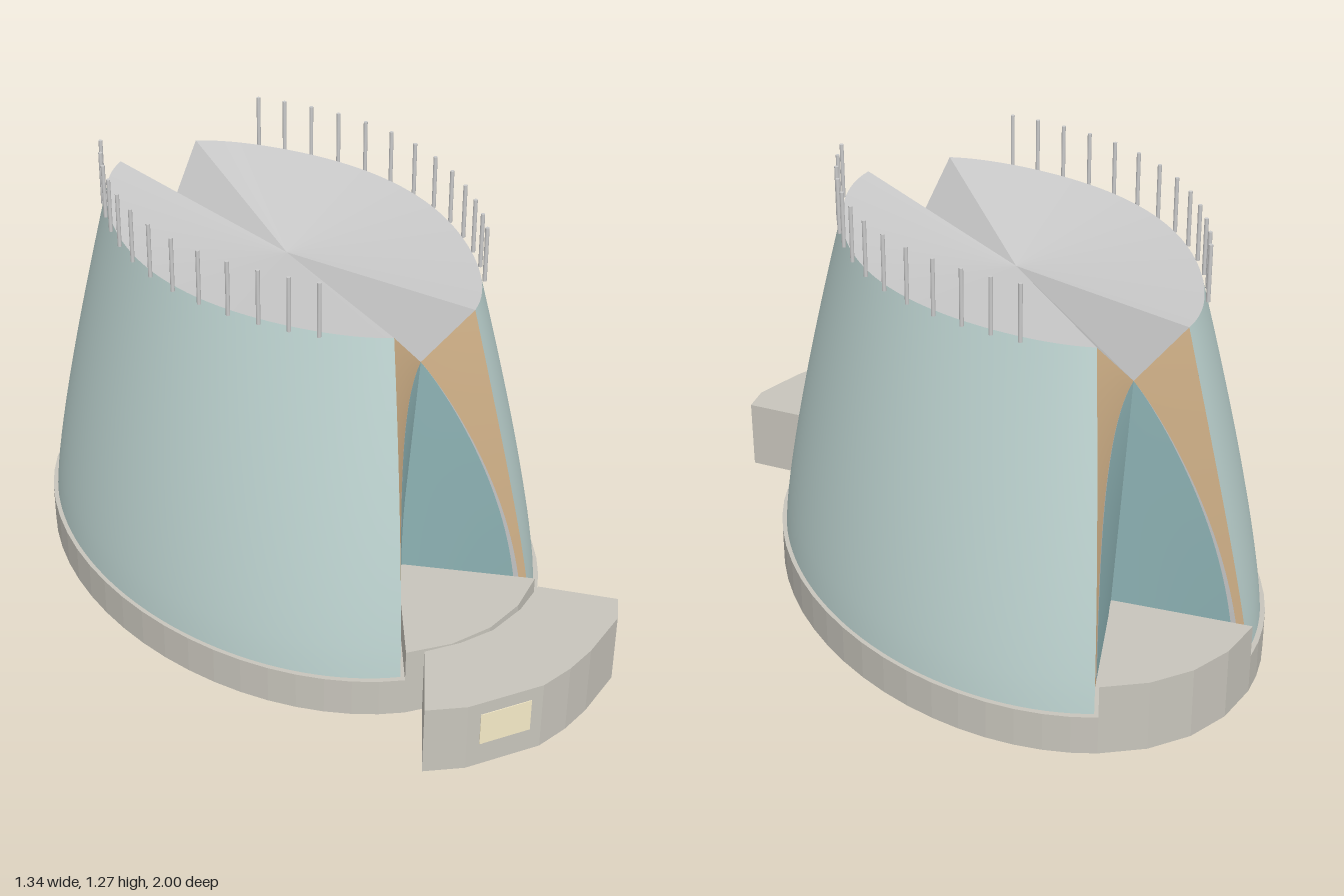
import * as THREE from 'three';
import { ParametricGeometry } from 'three/addons/geometries/ParametricGeometry.js';

const V = (x, y, z) => new THREE.Vector3(x, y, z);
const lerp = THREE.MathUtils.lerp;
const mat = (color) => new THREE.MeshStandardMaterial({ color, side: THREE.DoubleSide });

const BASE_Y = 0.12, TOP_Y = 1.12, STEP_H = 0.22;
const A = 0.876, B = 0.63;              // half axes of the tower's oval foot
const APEX = 0.506;                     // inner corner of each entrance notch
const rise = (y) => (y - BASE_Y) / (TOP_Y - BASE_Y);

// Point on the tapering oval wall: angle t from the entrance, height y.
// The flanks flatten slightly towards the top.
function onShell(t, y, outset = 0) {
  const f = Math.pow(Math.max(0, rise(y)), 1.25);
  const flat = 0.022 * f * Math.sin(2 * t) ** 2 - outset;
  return V((B - 0.192 * f - flat) * Math.sin(t), y, (A - 0.182 * f - flat) * Math.cos(t));
}
// Angles of the two notch edges, which close up towards the top
const edgeRight = (y) => lerp(0.435, 0.25, rise(y));
const edgeLeft = (y) => lerp(-0.41, -0.375, rise(y));

// Points [x, z] on the plinth's outline
const plinthArc = (from, to, n) => Array.from({ length: n + 1 }, (_, i) => {
  const t = lerp(from, to, i / n);
  return [0.643 * Math.sin(t), 0.893 * Math.cos(t)];
});

// Smooth surface from a function of two parameters
function surface(name, material, fn, nu, nv) {
  const g = new ParametricGeometry((u, v, out) => out.copy(fn(u, v)), nu, nv);
  g.computeVertexNormals();
  const m = new THREE.Mesh(g, material);
  m.name = name;
  return m;
}

// Upright prism over an [x, z] outline, hollow underneath
function prism(name, material, outline, height) {
  const shape = new THREE.Shape(outline.map(([x, z]) => new THREE.Vector2(x, -z)));
  const solid = new THREE.ExtrudeGeometry(shape, { depth: height, bevelEnabled: false });
  const skip = solid.groups[0].count / 2;   // the lower lid comes first
  const g = new THREE.BufferGeometry();
  for (const key of ['position', 'normal']) {
    g.setAttribute(key, new THREE.Float32BufferAttribute(solid.attributes[key].array.slice(skip * 3), 3));
  }
  g.rotateX(-Math.PI / 2);
  const m = new THREE.Mesh(g, material);
  m.name = name;
  return m;
}

export function createModel() {
  const model = new THREE.Group();
  model.name = 'ovalTower';
  const stone = mat(0xc8c5bc), cladding = mat(0xbcd2cf), glass = mat(0x92b8ba);
  const timber = mat(0xdcbb90), grey = mat(0xcccccc), cream = mat(0xf6ebc8);

  // The oval is turned a little from the front
  const tower = new THREE.Group();
  tower.name = 'tower';
  tower.position.z = -0.13;
  tower.rotation.y = THREE.MathUtils.degToRad(17);
  model.add(tower);

  // Plinth with a wedge cut out at each entrance
  const side = [[0, APEX], ...plinthArc(0.42, Math.PI - 0.4, 22)];
  const outline = [...side, ...side.map(([x, z]) => [-x, -z])];
  tower.add(prism('plinth', stone, outline, BASE_Y));

  const centre = V(0, 1.05, 0), valley = V(0.015, 0.94, 0.56);

  // Two identical halves, turned half a circle from each other
  for (let k = 0; k < 2; k++) {
    const half = new THREE.Group();
    half.name = k ? 'backHalf' : 'frontHalf';
    half.rotation.y = k * Math.PI;
    tower.add(half);

    // Curved outer wall
    half.add(surface('outerWall', cladding, (u, v) => {
      const y = lerp(BASE_Y, TOP_Y, v);
      return onShell(lerp(edgeRight(y), Math.PI + edgeLeft(y), u), y);
    }, 48, 20));

    // Roof fan sloping gently to the centre
    half.add(surface('roof', grey, (u, v) => {
      const rim = onShell(lerp(edgeRight(TOP_Y), Math.PI + edgeLeft(TOP_Y), u), TOP_Y);
      return centre.clone().lerp(rim, v);
    }, 48, 1));

    for (const edge of [edgeRight, edgeLeft]) {
      // Roof valley running out to the notch
      const corner = onShell(edge(TOP_Y), TOP_Y);
      half.add(surface('roofValley', grey,
        (u, v) => centre.clone().lerp(valley.clone().lerp(corner, u), v), 1, 1));

      // Notch wall: s = 0 at the inner corner, 1 at the outer wall; q runs upwards
      const wall = (s, q) => {
        const inner = V(0, 0.2, APEX).lerp(valley, q);
        const y = lerp(0.2, TOP_Y, q);
        return inner.lerp(onShell(edge(y), y), s);
      };
      const arch = (q) => 0.9 * (1 - Math.pow(q, 2.5));
      const trim = (q) => arch(q) + 0.04 * (1 - q);
      half.add(surface('entranceGlass', glass, (u, q) => wall(u * arch(q), q), 4, 28));
      half.add(surface('archTrim', grey, (u, q) => wall(lerp(arch(q), trim(q), u), q), 1, 28));
      half.add(surface('archPanel', timber, (u, q) => wall(lerp(trim(q), 1, u), q), 4, 28));
    }

    // Raised entrance step filling the notch
    half.add(prism('entranceStep', stone, [[0, APEX], ...plinthArc(-0.4, 0.42, 4)], STEP_H));

    // Posts along the roof edge
    const postGeometry = new THREE.CylinderGeometry(0.006, 0.006, 0.165, 8);
    for (let i = 0; i < 13; i++) {
      const post = new THREE.Mesh(postGeometry, grey);
      post.name = 'roofPost';
      post.position.copy(onShell(lerp(0.62, 2.38, i / 12), TOP_Y, 0.01));
      post.position.y = 1.1925;
      half.add(post);
    }
  }

  // Curved low wall in front of the entrance, with a plain panel
  model.add(prism('frontWall', stone, [
    [-0.055, 0.965], [0.06, 0.998], [0.18, 0.998], [0.29, 0.998], [0.39, 0.965], [0.48, 0.92],
    [0.62, 0.825], [0.665, 0.75], [0.48, 0.61], [0.385, 0.682], [0.27, 0.735], [0.16, 0.75], [0.05, 0.745],
  ], STEP_H));
  const panel = new THREE.Mesh(new THREE.BoxGeometry(0.155, 0.105, 0.002), cream);
  panel.name = 'wallPanel';
  panel.position.set(0.177, 0.127, 0.9995);
  model.add(panel);

  return model;
}
